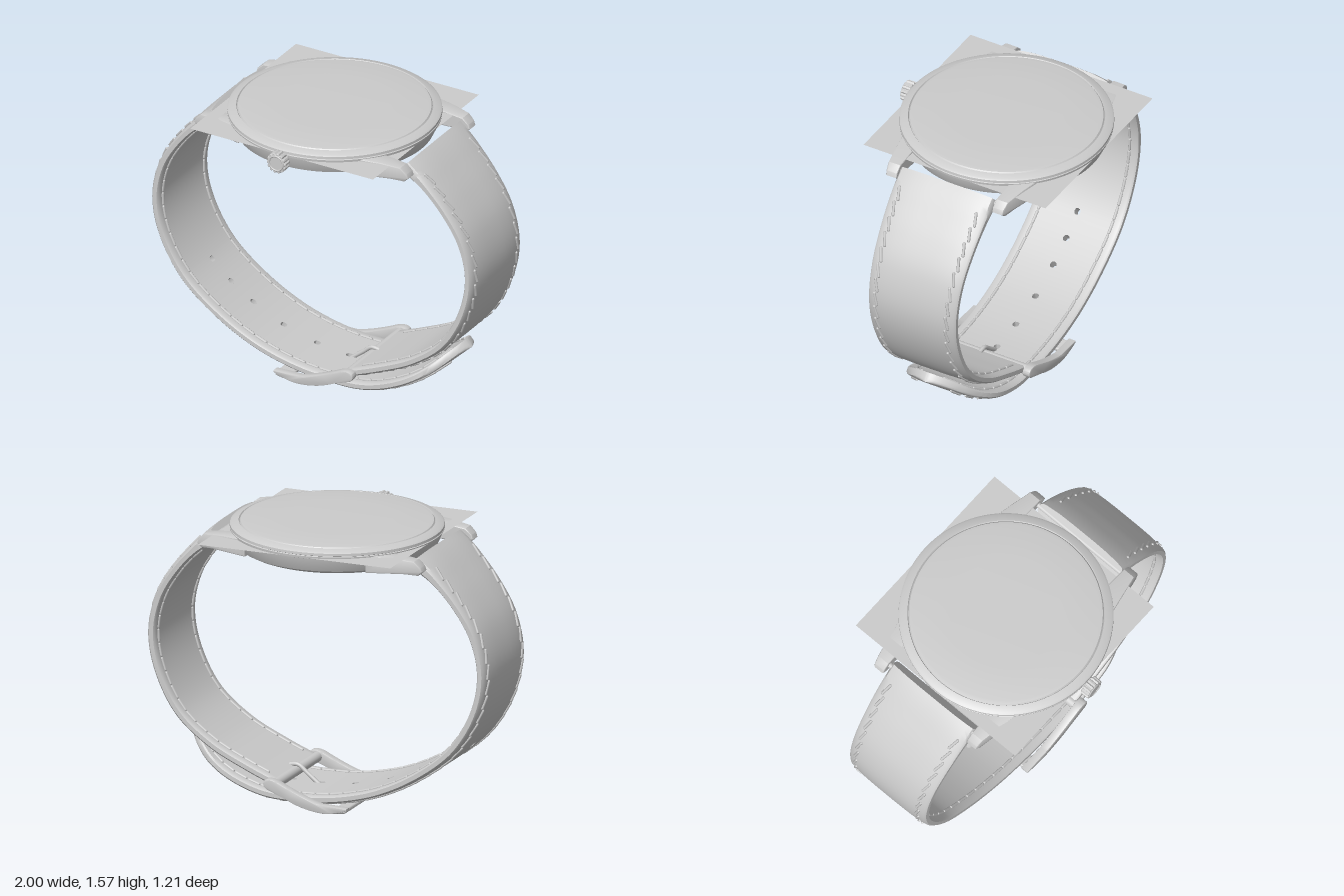
import * as THREE from 'three';
import { mergeGeometries, toCreasedNormals } from 'three/addons/utils/BufferGeometryUtils.js';
import { RoundedBoxGeometry } from 'three/addons/geometries/RoundedBoxGeometry.js';

const grey = new THREE.MeshStandardMaterial({ color: 0xcccccc });
const greyThin = new THREE.MeshStandardMaterial({ color: 0xcccccc, side: THREE.DoubleSide });
const CX = -0.01, CZ = -0.03;

function add(parent, name, geometry, x = 0, y = 0, z = 0, material = grey) {
  const mesh = new THREE.Mesh(geometry, material);
  mesh.name = name;
  mesh.position.set(x, y, z);
  parent.add(mesh);
  return mesh;
}
const shapeOf = pts => new THREE.Shape(pts.map(p => new THREE.Vector2(...p)));

// One strap half: padded leather swept along a path, with punched holes and stitches.
// dir is +1 when the path runs counter-clockwise seen from the front, else -1.
function makeStrap(name, path, dir, holeXs, tipLength) {
  const group = new THREE.Group();
  group.name = name;
  const curve = new THREE.CatmullRomCurve3(path.map(([x, y]) => new THREE.Vector3(x, y, 0)));
  curve.arcLengthDivisions = 600;
  const L = curve.getLength();

  const halfWidth = s => {
    let w = 0.268 + 0.022 * Math.exp(-((s / 0.45) ** 2));
    const d = L - s;
    if (d < tipLength) w *= Math.max(0.01, (1 - (1 - d / tipLength) ** 2) ** 0.62);
    return w;
  };
  // Point on the outer (side 1) or inner (side -1) face; f runs -1..1 across the width
  const surface = (s, f, side, lift = 0) => {
    const u = THREE.MathUtils.clamp(s / L, 0, 1);
    const p = curve.getPointAt(u), t = curve.getTangentAt(u);
    const bulge = Math.exp(-((s / 0.13) ** 2));
    const a = Math.abs(f);
    let h = (0.019 + 0.014 * bulge) * (a > 0.99 ? 0.6 : 1);
    if (side > 0) h += (0.015 + 0.006 * bulge) * (1 - a ** 4);
    h = side * (h + lift);
    return new THREE.Vector3(p.x + dir * t.y * h, p.y - dir * t.x * h, CZ + 0.005 + dir * f * halfWidth(s));
  };

  // Rows along the strap, with three rows at each hole
  const R = 0.019, holes = holeXs.map(hx => {
    let u = 0.25;
    while (curve.getPointAt(u).x < hx) u += 0.001;
    return u * L;
  });
  let rows = [];
  for (let i = 0; i <= 90; i++) rows.push({ s: (i / 90) * L });
  if (tipLength) for (const d of [0.002, 0.006, 0.013]) rows.push({ s: L - d });
  rows = rows.filter(r => holes.every(h => Math.abs(r.s - h) > 0.024));
  for (const h of holes) for (const k of [-1, 0, 1]) rows.push({ s: h + k * R, hole: k, centre: h });
  rows.sort((a, b) => a.s - b.s);

  const half = [0.07, 0.3, 0.6, 0.85, 0.96, 1];
  const F = [...half.map(f => -f).reverse(), 0, ...half];
  const M = F.length, N = 2 * M, mid = half.length;
  const pos = [], index = [];
  for (const row of rows) {
    const ring = side => F.map((f, k) => {
      const corner = row.hole && Math.abs(k - mid) === 1;
      return corner ? surface(row.centre + row.hole * R * 0.74, f * 0.74, side) : surface(row.s, f, side);
    });
    for (const p of [...ring(1), ...ring(-1).reverse()]) pos.push(p.x, p.y, p.z);
  }
  const quad = (a, b, c, d) => index.push(a, b, c, a, c, d);
  const top = (r, k) => r * N + k, bottom = (r, k) => r * N + N - 1 - k;
  const ringSteps = [[-1, -1], [0, -1], [1, -1], [1, 0], [1, 1], [0, 1], [-1, 1], [-1, 0]];
  rows.forEach((row, r) => {
    if (r < rows.length - 1) {
      const open = row.hole === -1 || row.hole === 0;
      for (let j = 0; j < N; j++) {
        const k = j < M ? j : N - 2 - j;
        if (open && j !== M - 1 && j !== N - 1 && (k === mid - 1 || k === mid)) continue;
        const n = (j + 1) % N;
        quad(r * N + j, (r + 1) * N + j, (r + 1) * N + n, r * N + n);
      }
    }
    if (row.hole === 0) ringSteps.forEach(([a, b], i) => {
      const [c, d] = ringSteps[(i + 1) % 8];
      quad(top(r + a, mid + b), top(r + c, mid + d), bottom(r + c, mid + d), bottom(r + a, mid + b));
    });
  });
  const last = rows.length - 1;
  for (let k = 0; k < M - 1; k++) {
    quad(top(0, k), top(0, k + 1), bottom(0, k + 1), bottom(0, k));
    quad(top(last, k + 1), top(last, k), bottom(last, k), bottom(last, k + 1));
  }
  const geo = new THREE.BufferGeometry();
  geo.setAttribute('position', new THREE.Float32BufferAttribute(pos, 3));
  geo.setIndex(index);
  add(group, name + 'Leather', toCreasedNormals(geo, 0.7));

  // Slanted stitches along both edges, outside and inside
  const stitches = [], up = new THREE.Vector3(0, 1, 0);
  for (const side of [1, -1]) for (const edge of [1, -1]) {
    for (let s = 0.14 + (side < 0 ? 0.04 : 0); s < L - 0.05; s += 0.083) {
      const at = (q, slant) => {
        const w = halfWidth(q);
        return surface(q, edge * Math.max(0.02, 1 - 0.05 / w) + slant / w, side, 0.001);
      };
      if (halfWidth(s + 0.03) < 0.09) continue;
      const tilt = side > 0 ? 0.009 * dir : 0;
      const a = at(s - 0.032, tilt), b = at(s + 0.032, -tilt);
      const g = new THREE.CapsuleGeometry(0.0085, a.distanceTo(b), 3, 6);
      g.applyQuaternion(new THREE.Quaternion().setFromUnitVectors(up, b.clone().sub(a).normalize()));
      const m = a.add(b).multiplyScalar(0.5);
      stitches.push(g.translate(m.x, m.y, m.z));
    }
  }
  add(group, name + 'Stitching', mergeGeometries(stitches));
  return group;
}

function makeCase() {
  const group = new THREE.Group();
  group.name = 'watchCase';
  const lathe = pts => toCreasedNormals(
    new THREE.LatheGeometry(pts.map(p => new THREE.Vector2(...p)), 96), 0.4);
  add(group, 'caseBody', lathe([[0, 1.406], [0.49, 1.406], [0.495, 1.412], [0.505, 1.412], [0.535, 1.428],
    [0.555, 1.47], [0.563, 1.503], [0.574, 1.507], [0.576, 1.52], [0.57, 1.523], [0.576, 1.526],
    [0.575, 1.54], [0.565, 1.547], [0.528, 1.556], [0.524, 1.55]]), CX, 0, CZ);
  add(group, 'crystal', lathe([[0.524, 1.55], [0.518, 1.558], [0.5, 1.561], [0.3, 1.565], [0, 1.567]]), CX, 0, CZ);

  // Flat square sheet around the case
  const sheet = add(group, 'dialSheet', new THREE.PlaneGeometry(1.13, 1.13).rotateX(-Math.PI / 2),
    -0.015, 1.509, -0.035, greyThin);
  sheet.rotation.z = -0.01;

  // Four tapering lugs and two spring bars
  const profile = shapeOf([[0.36, 1.425], [0.56, 1.432], [0.635, 1.428], [0.655, 1.445], [0.648, 1.465],
    [0.615, 1.495], [0.5, 1.508], [0.36, 1.512]]);
  for (const sx of [1, -1]) {
    for (const sz of [1, -1]) {
      const g = new THREE.ExtrudeGeometry(profile, { depth: 0.05, bevelSize: 0.006, bevelThickness: 0.008, bevelSegments: 2 });
      const p = g.attributes.position;
      for (let i = 0; i < p.count; i++) {
        const x = p.getX(i), outer = p.getZ(i) > 0.025;
        const z = 0.305 + p.getZ(i) + (outer ? (0.655 - x) * 0.2 : 0);
        p.setXYZ(i, sx * x, p.getY(i), sz * z);
      }
      // Mirrored once: reverse each triangle
      if (sx * sz < 0) for (let i = 0; i < p.count; i += 3) {
        const a = new THREE.Vector3().fromBufferAttribute(p, i), b = new THREE.Vector3().fromBufferAttribute(p, i + 1);
        p.setXYZ(i, b.x, b.y, b.z);
        p.setXYZ(i + 1, a.x, a.y, a.z);
      }
      add(group, 'lug', toCreasedNormals(g, 0.5), CX, 0, CZ);
    }
    add(group, 'springBar', new THREE.CylinderGeometry(0.016, 0.016, 0.64, 12).rotateX(Math.PI / 2), CX + sx * 0.605, 1.462, CZ);
  }

  // Ribbed crown
  const ribs = [];
  for (let i = 0; i < 56; i++) {
    const a = (i / 56) * Math.PI * 2, r = i % 4 < 2 ? 0.055 : 0.048;
    ribs.push([r * Math.cos(a), r * Math.sin(a)]);
  }
  add(group, 'crown', new THREE.ExtrudeGeometry(shapeOf(ribs), { depth: 0.04, bevelSize: 0.004, bevelThickness: 0.005, bevelSegments: 2 }), CX, 1.485, 0.554);
  add(group, 'crownRim', new THREE.TorusGeometry(0.042, 0.005, 8, 32), CX, 1.485, 0.599);
  add(group, 'crownStem', new THREE.CylinderGeometry(0.03, 0.03, 0.08, 20).rotateX(Math.PI / 2), CX, 1.485, 0.525);
  return group;
}

function makeBuckle() {
  const group = new THREE.Group();
  group.name = 'buckle';
  // Side arms: thick and rounded at the pivot, thin at the far end
  const arm = new THREE.Shape();
  arm.moveTo(-0.2, 0.036);
  arm.quadraticCurveTo(-0.12, 0.006, -0.06, 0.006);
  arm.quadraticCurveTo(0.06, 0.012, 0.15, 0.058);
  arm.lineTo(0.262, 0.1);
  arm.quadraticCurveTo(0.29, 0.118, 0.274, 0.142);
  arm.quadraticCurveTo(0.25, 0.158, 0.2, 0.138);
  arm.quadraticCurveTo(0.05, 0.066, -0.05, 0.044);
  arm.lineTo(-0.2, 0.04);
  const opts = { depth: 0.033, bevelSize: 0.005, bevelThickness: 0.006, bevelSegments: 2, curveSegments: 10 };
  const armGeo = toCreasedNormals(new THREE.ExtrudeGeometry(arm, opts), 0.6);
  for (const z of [0.253, -0.339]) add(group, 'buckleArm', armGeo, 0, 0, z);
  add(group, 'buckleEndBar', new RoundedBoxGeometry(0.085, 0.024, 0.63, 3, 0.01), -0.155, 0.022, -0.026).rotation.z = -0.15;
  add(group, 'bucklePivot', new THREE.CylinderGeometry(0.028, 0.028, 0.6, 20).rotateX(Math.PI / 2), 0.235, 0.118, -0.026);

  // Tongue looped on the pivot, passing out through a hole onto the end bar
  const tongue = new THREE.CatmullRomCurve3([[0.27, 0.15], [0.22, 0.153], [0.17, 0.115], [0.1, 0.06], [0.05, 0.02],
    [-0.06, 0.012], [-0.17, 0.013]].map(([x, y]) => new THREE.Vector3(x, y, -0.026)));
  add(group, 'buckleTongue', new THREE.TubeGeometry(tongue, 40, 0.012, 10));
  add(group, 'tongueTip', new THREE.SphereGeometry(0.012, 12, 8), -0.17, 0.013, -0.026);
  return group;
}

export function createModel() {
  const model = new THREE.Group();
  model.name = 'wristwatch';
  const side = [[0.585, 1.468], [0.7, 1.378], [0.82, 1.245], [0.92, 1.08], [0.965, 0.88], [0.93, 0.67]];
  model.add(makeCase());
  model.add(makeStrap('longStrap', [...side.map(([x, y]) => [-x, y]), [-0.8, 0.44], [-0.6, 0.27], [-0.35, 0.138],
    [-0.1, 0.07], [0.12, 0.05], [0.3, 0.056], [0.45, 0.098], [0.64, 0.192], [0.82, 0.345]],
  1, [-0.78, -0.66, -0.52, -0.33, -0.12, 0.08, 0.25, 0.4], 0.45));
  model.add(makeStrap('shortStrap', [...side, [0.81, 0.445], [0.62, 0.29], [0.4, 0.185], [0.235, 0.12]], -1, [], 0));
  model.add(makeBuckle());
  return model;
}
